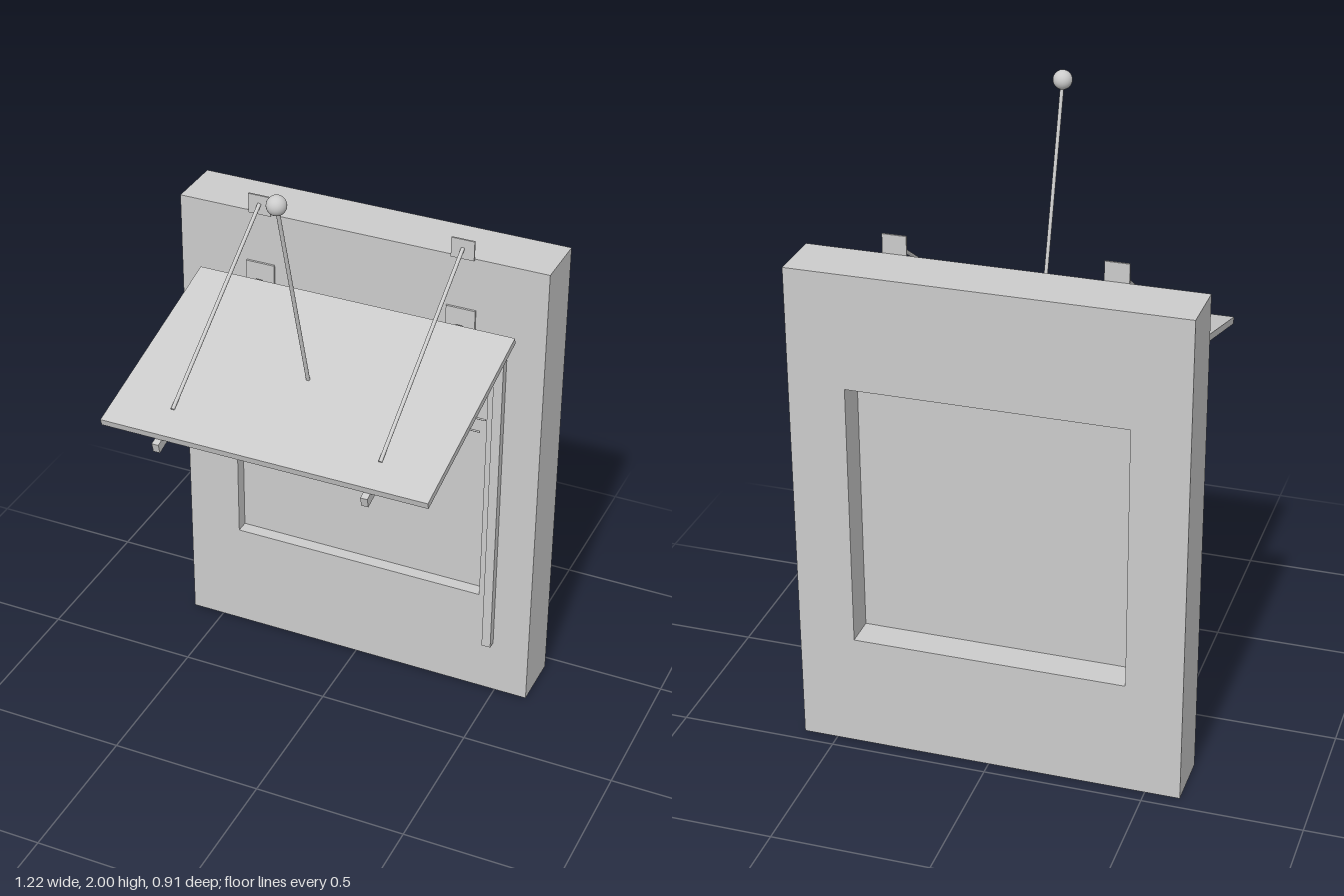
import * as THREE from 'three';

const material = new THREE.MeshStandardMaterial({ color: 0xcccccc });

function add(parent, name, geometry, x = 0, y = 0, z = 0) {
  const mesh = new THREE.Mesh(geometry, material);
  mesh.name = name;
  mesh.position.set(x, y, z);
  parent.add(mesh);
  return mesh;
}

const box = (parent, name, w, h, d, x, y, z) =>
  add(parent, name, new THREE.BoxGeometry(w, h, d), x, y, z);

// Round bar between two points
function rod(parent, name, from, to, radius) {
  const a = new THREE.Vector3(...from), b = new THREE.Vector3(...to);
  const dir = b.clone().sub(a);
  const mesh = add(parent, name, new THREE.CylinderGeometry(radius, radius, dir.length(), 12));
  mesh.position.copy(a).add(b).multiplyScalar(0.5);
  mesh.quaternion.setFromUnitVectors(new THREE.Vector3(0, 1, 0), dir.normalize());
  return mesh;
}

// Rectangular slab with a rectangular opening; bounds are [x0, y0, x1, y1]
function frameGeometry(outer, inner, depth) {
  const trace = (path, [x0, y0, x1, y1]) =>
    path.moveTo(x0, y0).lineTo(x1, y0).lineTo(x1, y1).lineTo(x0, y1).closePath();
  const shape = trace(new THREE.Shape(), outer);
  shape.holes.push(trace(new THREE.Path(), inner));
  return new THREE.ExtrudeGeometry(shape, { depth, bevelEnabled: false });
}

export function createModel() {
  const model = new THREE.Group();
  model.name = 'windowWithAwning';

  // Wall with a window opening and a pane set inside it
  add(model, 'wall', frameGeometry([-0.61, 0, 0.61, 1.595], [-0.432, 0.37, 0.432, 1.23], 0.185), 0, 0, -0.455);
  box(model, 'windowPane', 0.864, 0.86, 0.04, 0, 0.8, -0.333);

  // Cable duct down the wall
  box(model, 'cableDuct', 0.03, 1.125, 0.027, 0.473, 0.7525, -0.2565);

  // Tilted awning: rimmed panel carried on two arms
  const awning = new THREE.Group();
  awning.name = 'awning';
  awning.position.set(0, 1.281, 0.101);
  awning.rotation.x = THREE.MathUtils.degToRad(15);
  model.add(awning);

  const rim = add(awning, 'awningRim',
    frameGeometry([-0.525, -0.345, 0.525, 0.345], [-0.505, -0.325, 0.505, 0.325], 0.022), 0, 0.011, 0);
  rim.rotation.x = Math.PI / 2;
  box(awning, 'awningSheet', 1.01, 0.014, 0.65, 0, 0.004, 0);

  // Junction box under the panel with two leads past its edge
  box(awning, 'junctionBox', 0.14, 0.016, 0.07, 0.42, -0.011, 0);
  for (const z of [-0.024, 0.024]) {
    rod(awning, 'lead', [0.47, -0.01, z], [0.555, -0.01, z], 0.003);
  }

  for (const side of [-1, 1]) {
    const x = side * 0.335;
    box(awning, 'supportArm', 0.022, 0.033, 0.735, x, -0.0275, 0);

    // Wall plates and tie rod
    box(model, 'lowerWallPlate', 0.095, 0.11, 0.007, x, 1.365, -0.2665);
    box(model, 'upperWallPlate', 0.075, 0.065, 0.006, x, 1.6225, -0.267);
    rod(model, 'tieRod', [x, 1.625, -0.265], [x, 1.23, 0.337], 0.006);
  }

  // Leaning mast with a ball on top
  rod(model, 'mast', [0, 1.285, 0.104], [0, 1.97, 0.307], 0.006);
  add(model, 'mastBall', new THREE.SphereGeometry(0.03, 24, 16), 0, 1.97, 0.307);

  return model;
}
